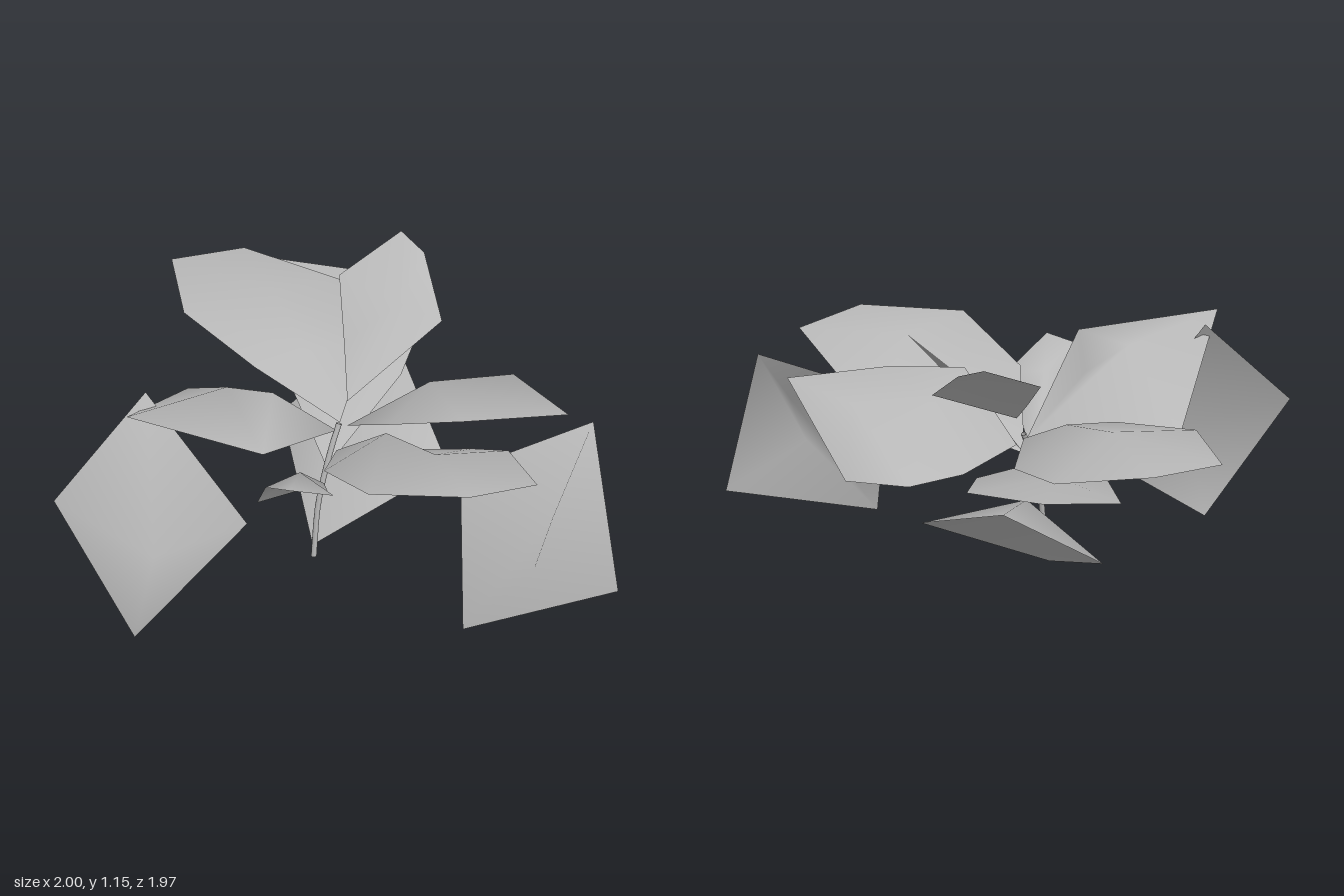
import * as THREE from 'three';

const foliage = new THREE.MeshStandardMaterial({ color: 0xb8b8b8, side: THREE.DoubleSide });
foliage.name = 'pale grey foliage';

// Each leaf: one or two raised midrib points, and the outline starting at the leaf base
const leaves = {
  lowerRightLeaf: { ribs: [[-0.69, 0.38, 0.33]],
    rim: [[-0.62, 0.93, 0.02], [-1, 0.53, 0.05], [-0.75, 0, 0.28], [-0.27, 0.37, 0.2]] },
  upperRightLeaf: { ribs: [[-0.11, 0.83, 0.03], [-0.3, 0.9, 0.04]],
    rim: [[0.15, 0.6, 0.02], [-0.28, 0.82, 0.42], [-0.74, 0.92, 0.15], [-0.33, 0.67, -0.34]] },
  smallFrontLeaf: { ribs: [[-0.12, 0.69, 0.39]],
    rim: [[0.08, 0.41, 0.08], [0, 0.56, 0.37], [-0.03, 0.65, 0.53], [-0.23, 0.75, 0.59],
      [-0.3, 0.73, 0.51], [-0.31, 0.62, 0.44]] },
  upperLeftLeaf: { ribs: [[0.5, 0.8, 0.1], [0.81, 0.82, 0.18]],
    rim: [[0.2, 0.6, 0], [0.25, 0.8, 0.34], [0.52, 0.82, 0.44], [0.92, 0.82, 0.52],
      [0.93, 0.59, 0.01], [0.73, 0.58, -0.13], [0.5, 0.59, -0.14]] },
  largeFrontLeaf: { ribs: [[0.25, 0.75, 0.32], [0.34, 0.835, 0.65]],
    rim: [[0.14, 0.53, 0.05], [-0.04, 0.71, 0.44], [0.02, 0.81, 0.8], [0.37, 0.835, 0.98],
      [0.655, 0.81, 0.94], [0.66, 0.74, 0.57], [0.56, 0.69, 0.44]] },
  lowerFrontLeaf: { ribs: [[0.75, 0.58, 0.84], [0.66, 0.37, 0.87]],
    rim: [[0.97, 0.87, 0.67], [0.48, 0.66, 0.53], [0.42, 0.08, 0.74], [1, 0.22, 0.88]] },
  largeBackLeaf: { ribs: [[0.13, 0.78, -0.28], [0.1, 0.87, -0.6]],
    rim: [[0.17, 0.62, 0], [-0.08, 0.75, -0.28], [-0.25, 0.82, -0.63], [-0.18, 0.83, -0.99],
      [0.11, 0.83, -0.98], [0.415, 0.77, -0.74], [0.415, 0.7, -0.4]] },
  middleBackLeaf: { ribs: [[0.22, 0.66, -0.3], [0.33, 0.73, -0.6]],
    rim: [[0.1, 0.46, 0.05], [0.08, 0.65, -0.5], [0.25, 0.75, -0.98], [0.51, 0.74, -0.83],
      [0.66, 0.68, -0.48], [0.5, 0.62, -0.25]] },
  lowerBackLeaf: { ribs: [[0.32, 0.52, -0.32]],
    rim: [[0.06, 0.085, 0], [0.6, 0.345, 0.02], [0.57, 0.62, -0.61], [0.13, 0.32, -0.59]] },
  topLeaf: { ribs: [[0.47, 0.99, -0.18]],
    rim: [[0.2, 0.71, 0], [0.25, 0.85, -0.19], [0.3, 1.02, -0.4], [0.56, 1.15, -0.43],
      [0.62, 1.1, -0.33], [0.615, 0.93, -0.1]] },
};

// Smooth-shaded faces joining each rim edge to its nearest midrib point
function leafGeometry({ ribs, rim }) {
  const points = [...ribs, ...rim].map((p) => new THREE.Vector3(...p));
  const nearest = (i) => (ribs.length > 1
    && points[1].distanceTo(points[i]) < points[0].distanceTo(points[i]) ? 1 : 0);
  const index = [];
  for (let i = 0; i < rim.length; i++) {
    const a = ribs.length + i;
    const b = ribs.length + (i + 1) % rim.length;
    index.push(nearest(a), a, b);
    if (nearest(a) !== nearest(b)) index.push(nearest(a), b, nearest(b));
  }
  const geometry = new THREE.BufferGeometry().setFromPoints(points);
  geometry.setIndex(index);
  geometry.computeVertexNormals();
  return geometry;
}

export function createModel() {
  const plant = new THREE.Group();
  plant.name = 'plant';

  // Leaves
  for (const [name, shape] of Object.entries(leaves)) {
    const leaf = new THREE.Mesh(leafGeometry(shape), foliage);
    leaf.name = name;
    plant.add(leaf);
  }

  // Thin bent stem
  const path = new THREE.CatmullRomCurve3([
    [0.035, 0.095, 0.09], [0.06, 0.32, 0.07], [0.12, 0.53, 0.04], [0.16, 0.63, 0.02],
  ].map((p) => new THREE.Vector3(...p)));
  const stem = new THREE.Mesh(new THREE.TubeGeometry(path, 8, 0.011, 6), foliage);
  stem.name = 'stem';
  plant.add(stem);

  return plant;
}
